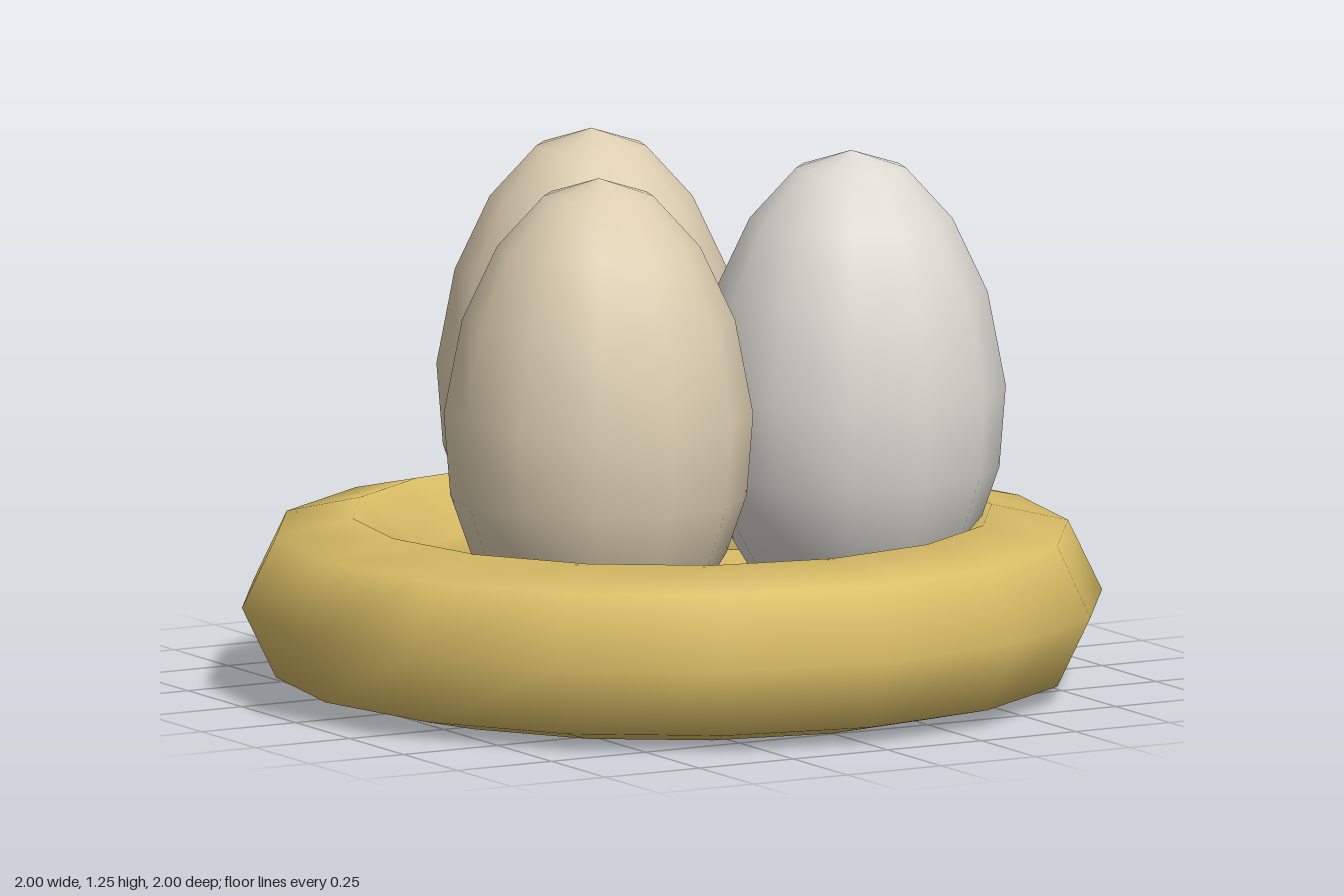
import * as THREE from 'three';

export function createModel() {
  const model = new THREE.Group();
  model.name = 'eggNest';

  const material = (name, color) => {
    const m = new THREE.MeshStandardMaterial({ color });
    m.name = name;
    return m;
  };
  const straw = material('straw gold', 0xd9bd66);
  const cream = material('cream shell', 0xdccdb0);
  const white = material('white shell', 0xdcd9d2);

  const add = (name, geometry, mat, x, y, z) => {
    const mesh = new THREE.Mesh(geometry, mat);
    mesh.name = name;
    mesh.position.set(x, y, z);
    model.add(mesh);
  };

  // Nest: low-poly ring with a thick floor disc
  const ring = new THREE.TorusGeometry(0.79, 0.21, 7, 16).rotateX(Math.PI / 2);
  add('nestRing', ring, straw, 0, 0.205, 0);
  add('nestFloor', new THREE.CylinderGeometry(0.66, 0.66, 0.13, 16), straw, 0, 0.155, 0);

  // Egg: lathe profile from blunt base to narrower tip
  const profile = [
    [0, 0.16], [0.125, 0.185], [0.225, 0.26], [0.295, 0.375], [0.342, 0.51],
    [0.357, 0.7], [0.315, 0.92], [0.234, 1.092], [0.126, 1.21], [0, 1.251],
  ].map(([r, y]) => new THREE.Vector2(r, y));
  const egg = new THREE.LatheGeometry(profile, 12);

  add('backEgg', egg, cream, 0, 0, -0.375);
  add('frontRightEgg', egg, cream, -0.327, 0, 0.23);
  add('frontLeftEgg', egg, white, 0.37, 0, 0.185);

  return model;
}
